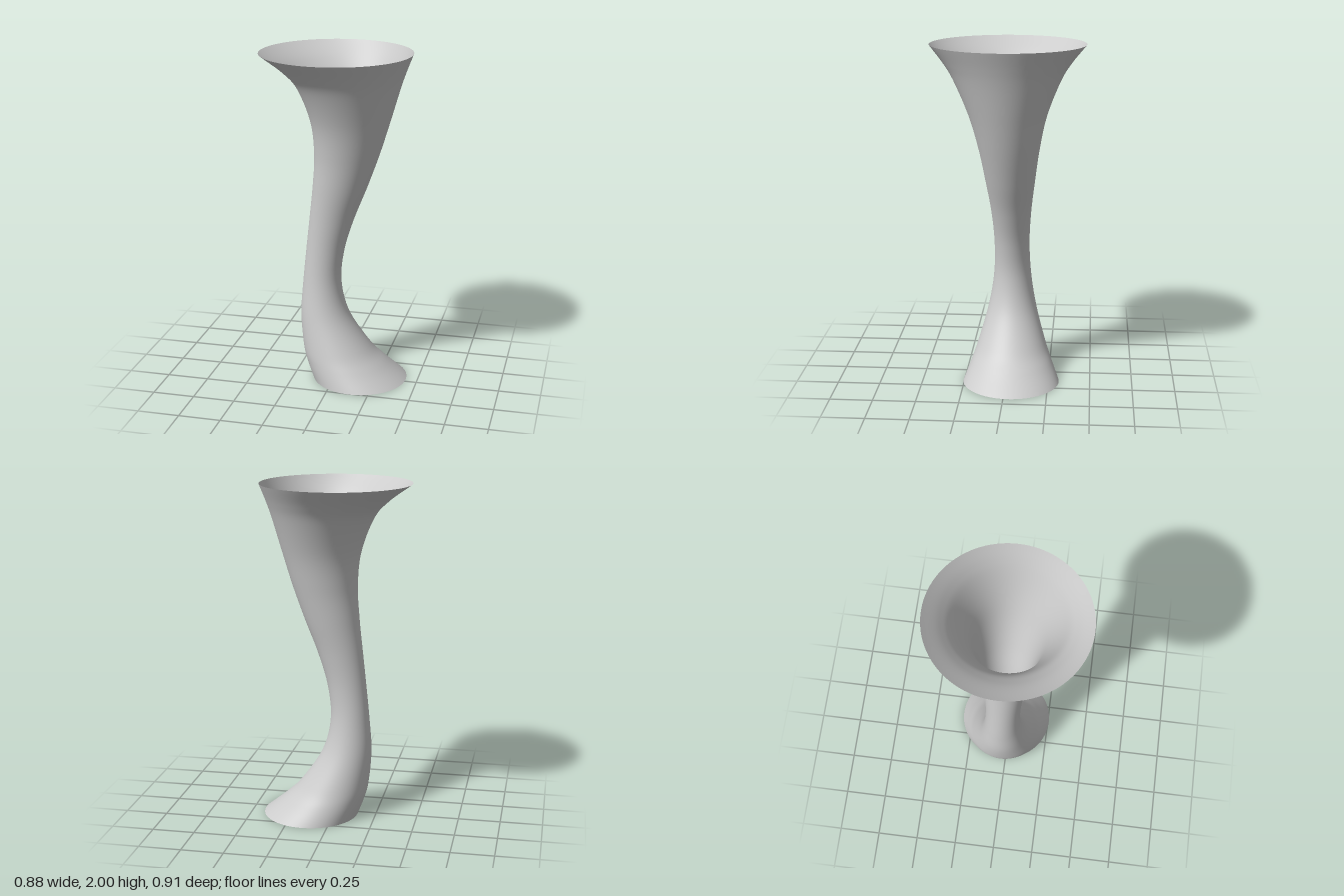
import * as THREE from 'three';
import { mergeVertices } from 'three/addons/utils/BufferGeometryUtils.js';

// Cross-sections from bottom to top: [y, x min, x max, z min, z max]
const SECTIONS = [
  [0, -0.14, 0.43, -0.315, 0.257],
  [0.1, -0.178, 0.307, -0.268, 0.216],
  [0.2, -0.203, 0.207, -0.227, 0.18],
  [0.4, -0.22, 0.075, -0.168, 0.123],
  [0.6, -0.207, 0.025, -0.135, 0.09],
  [0.8, -0.187, 0.042, -0.125, 0.085],
  [1.0, -0.165, 0.1, -0.136, 0.1],
  [1.2, -0.143, 0.178, -0.16, 0.13],
  [1.4, -0.13, 0.25, -0.188, 0.166],
  [1.6, -0.148, 0.312, -0.23, 0.22],
  [1.8, -0.222, 0.37, -0.307, 0.305],
  [1.9, -0.308, 0.403, -0.368, 0.368],
  [2, -0.443, 0.441, -0.453, 0.453],
];

const smoothCurve = (points) => new THREE.CatmullRomCurve3(points, false, 'catmullrom', 0.5);

export function createModel() {
  // Centre line and half-widths share the same parameter
  const centre = smoothCurve(SECTIONS.map(([y, x0, x1, z0, z1]) =>
    new THREE.Vector3((x0 + x1) / 2, y, (z0 + z1) / 2)));
  const radius = smoothCurve(SECTIONS.map(([y, x0, x1, z0, z1]) =>
    new THREE.Vector3((x1 - x0) / 2, y, (z1 - z0) / 2)));

  // Open tube whose rings are moved onto the curving, flared sections
  const tube = new THREE.CylinderGeometry(1, 1, 1, 96, 96, true);
  const pos = tube.attributes.position;
  const c = new THREE.Vector3();
  const r = new THREE.Vector3();
  for (let i = 0; i < pos.count; i++) {
    const t = THREE.MathUtils.clamp(pos.getY(i) + 0.5, 0, 1);
    centre.getPoint(t, c);
    radius.getPoint(t, r);
    pos.setXYZ(i, c.x + r.x * pos.getX(i), c.y, c.z + r.z * pos.getZ(i));
  }

  // Weld the seam so the shading is smooth all round
  tube.deleteAttribute('uv');
  tube.deleteAttribute('normal');
  const geometry = mergeVertices(tube, 1e-5);
  geometry.computeVertexNormals();

  const material = new THREE.MeshStandardMaterial({ color: 0xcccccc, side: THREE.DoubleSide });
  const shell = new THREE.Mesh(geometry, material);
  shell.name = 'flaredTubeShell';

  const group = new THREE.Group();
  group.name = 'curvedFlaredTube';
  group.add(shell);
  return group;
}
